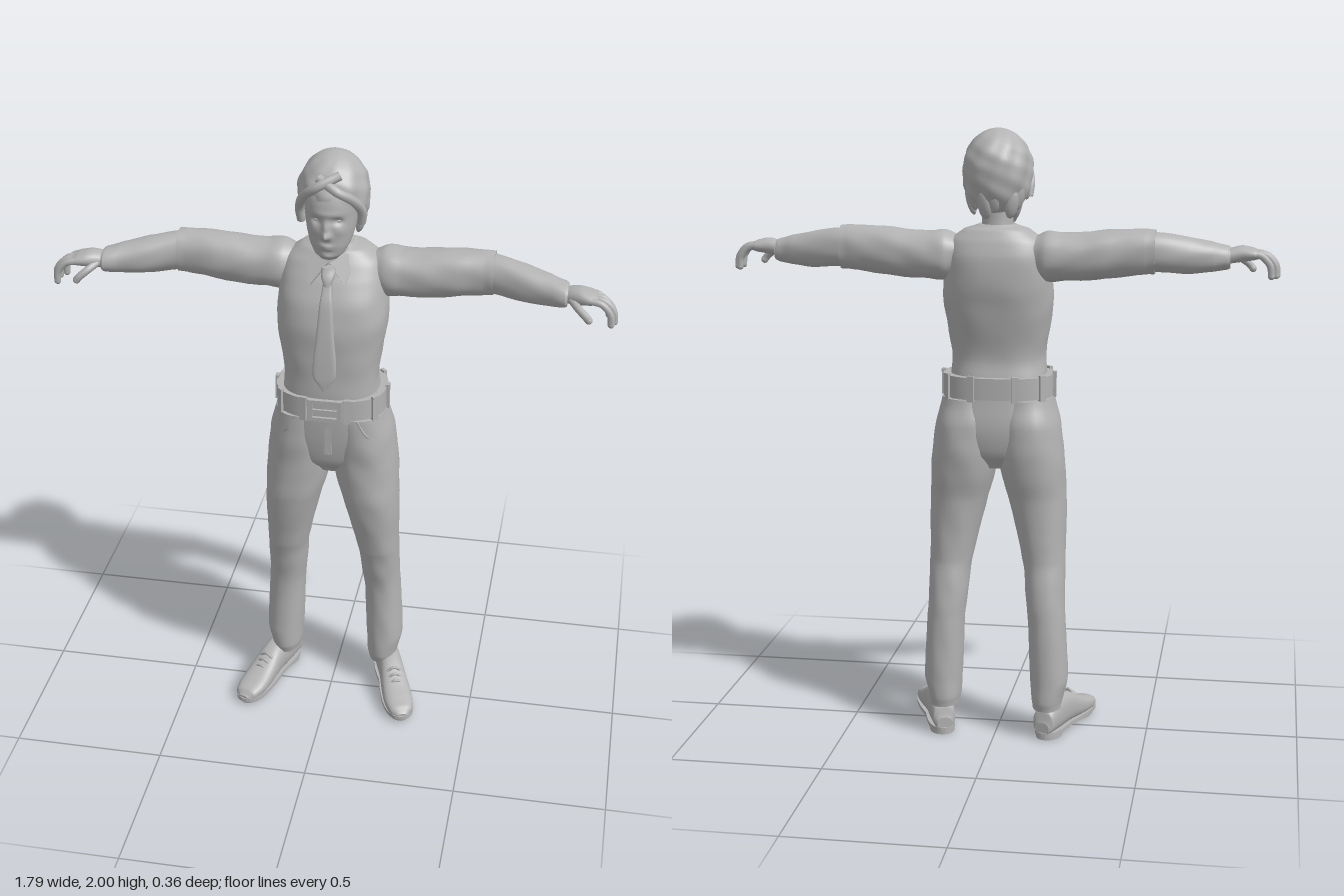
import * as THREE from 'three';

const clay = new THREE.MeshStandardMaterial({ color: 0xb3b3b3, side: THREE.DoubleSide });
clay.name = 'plain grey';
const V = (x, y, z) => new THREE.Vector3(x, y, z);
const AXES = { x: [0, 1, 2], y: [1, 0, 2], z: [2, 0, 1] };

// Smooth skin through rings [t, lo1, hi1, lo2, hi2] stacked along an axis;
// n squares the section, wob(t, angle) scales its radius.
function loft(axis, rings, { n = 2.2, seg = 32, steps = 5, wob = () => 1 } = {}) {
  const [T, A, B] = AXES[axis], rows = [], pos = [], idx = [];
  const at = i => rings[Math.max(0, Math.min(rings.length - 1, i))];
  for (let i = 0; i < rings.length - 1; i++)
    for (let s = 0; s < steps + (i === rings.length - 2 ? 1 : 0); s++) {
      const f = s / steps;
      rows.push(at(i).map((p, k) => {
        const m0 = (at(i + 1)[k] - at(i - 1)[k]) / 2, m1 = (at(i + 2)[k] - p) / 2;
        const q = at(i + 1)[k], f2 = f * f, f3 = f2 * f;
        return k === 0 ? p + (q - p) * f
          : p * (2 * f3 - 3 * f2 + 1) + m0 * (f3 - 2 * f2 + f) + q * (3 * f2 - 2 * f3) + m1 * (f3 - f2);
      }));
    }
  const put = (t, a, b) => { const p = []; p[T] = t; p[A] = a; p[B] = b; pos.push(...p); };
  const tri = (a, b, c) => axis === 'y' ? idx.push(a, c, b) : idx.push(a, b, c);
  const pow = c => Math.sign(c) * Math.abs(c) ** (2 / n);
  const ring = ([t, a0, a1, b0, b1]) => {
    for (let j = 0; j < seg; j++) {
      const g = j / seg * Math.PI * 2, w = wob(t, g);
      put(t, (a0 + a1) / 2 + (a1 - a0) / 2 * w * pow(Math.cos(g)), (b0 + b1) / 2 + (b1 - b0) / 2 * w * pow(Math.sin(g)));
    }
  };
  rows.forEach(ring);
  for (let i = 0; i < rows.length - 1; i++)
    for (let j = 0; j < seg; j++) {
      const a = i * seg + j, b = i * seg + (j + 1) % seg;
      tri(a, b, b + seg); tri(a, b + seg, a + seg);
    }
  // end caps
  for (const end of [0, 1]) {
    const r = rows[end * (rows.length - 1)], base = pos.length / 3;
    ring(r);
    put(r[0], (r[1] + r[2]) / 2, (r[3] + r[4]) / 2);
    for (let j = 0; j < seg; j++) {
      const a = base + j, b = base + (j + 1) % seg;
      end ? tri(a, b, base + seg) : tri(b, a, base + seg);
    }
  }
  const g = new THREE.BufferGeometry();
  g.setAttribute('position', new THREE.Float32BufferAttribute(pos, 3));
  g.setIndex(idx);
  g.computeVertexNormals();
  return g;
}

// Move every vertex by a rule
function shape(geo, rule) {
  const p = geo.attributes.position, v = V(0, 0, 0);
  for (let i = 0; i < p.count; i++) { rule(v.fromBufferAttribute(p, i), i); p.setXYZ(i, v.x, v.y, v.z); }
  geo.computeVertexNormals();
  return geo;
}

function mirror(geo) {
  const g = geo.index ? geo.toNonIndexed() : geo.clone();
  for (const [key, k] of [['position', 3], ['normal', 3]]) {
    const a = g.attributes[key].array;
    for (let i = 0; i < a.length; i += 9)
      for (let c = 0; c < k; c++) [a[i + 3 + c], a[i + 6 + c]] = [a[i + 6 + c], a[i + 3 + c]];
    for (let i = 0; i < a.length; i += 3) a[i] *= -1;
  }
  return g;
}

const tube = (pts, r, seg = 12) => new THREE.TubeGeometry(new THREE.CatmullRomCurve3(pts.map(p => V(...p))), seg, r, 8);
const ball = (r, x, y, z) => new THREE.SphereGeometry(r, 10, 8).translate(x, y, z);
const sym = rows => rows.map(([t, r, b0, b1]) => [t, -r, r, b0, b1]);

export function createModel() {
  const model = new THREE.Group();
  const add = (name, geo) => { const m = new THREE.Mesh(geo, clay); m.name = name; model.add(m); };
  const pair = (name, geo) => { add(name + 'Left', geo); add(name + 'Right', mirror(geo)); };
  const folds = k => (t, a) => 1 + k * Math.sin(t * 47 + 2 * Math.sin(a * 2)) * Math.sin(a * 3 + t * 13);

  // Waistcoat and trousers
  add('waistcoat', loft('y', sym([[1.2, .157, -.145, .105], [1.27, .152, -.132, .105], [1.35, .163, -.146, .106],
    [1.45, .177, -.166, .107], [1.53, .174, -.178, .092], [1.6, .166, -.175, .06], [1.65, .15, -.16, .028],
    [1.685, .105, -.14, .005], [1.7, .06, -.12, -.01]]), { n: 2.5, seg: 44, wob: folds(.008) }));
  add('trouserSeat', loft('y', sym([[.91, .06, -.11, .04], [.96, .15, -.15, .08], [1.05, .198, -.163, .098],
    [1.16, .178, -.15, .107]]), { n: 2.4 }));
  pair('trouserLeg', loft('y', [[.1, .125, .222, -.165, -.01], [.13, .12, .226, -.17, 0], [.2, .115, .24, -.17, 0],
    [.4, .107, .23, -.166, 0], [.5, .096, .226, -.158, .02], [.6, .083, .225, -.142, .045], [.8, .036, .225, -.147, .085],
    [.93, .003, .218, -.17, .09], [1.05, 0, .205, -.172, .1], [1.14, .005, .182, -.15, .1]], { wob: folds(.014) }));
  add('flyPlacket', new THREE.BoxGeometry(.022, .13, .008).translate(.008, 1.075, .1));
  pair('pocketSeam', tube([[.1, 1.14, .098], [.135, 1.08, .09], [.185, 1.05, .035]], .004));

  // Belt, loops and buckle
  const beltRow = y => [y, -.18, .18, -.163, .115];
  add('belt', loft('y', [beltRow(1.145), beltRow(1.152), beltRow(1.208), beltRow(1.215)], { n: 2.5, seg: 44 }));
  for (let i = 0; i < 10; i++) {
    const a = (i + .5) / 10 * Math.PI * 2 + Math.PI / 2, c = Math.cos(a), s = Math.sin(a);
    const p = t => Math.sign(t) * Math.abs(t) ** .8;
    add('beltLoop', new THREE.BoxGeometry(.022, .084, .012)
      .rotateY(Math.atan2(c * .139, s * .18)).translate(.182 * p(c), 1.18, -.024 + .141 * p(s)));
  }
  const frame = new THREE.Shape([[-.055, -.038], [.055, -.038], [.055, .038], [-.055, .038]].map(p => new THREE.Vector2(...p)));
  frame.holes.push(new THREE.Path([[-.04, -.024], [-.04, .024], [.04, .024], [.04, -.024]].map(p => new THREE.Vector2(...p))));
  add('buckle', new THREE.ExtrudeGeometry(frame, { depth: .014, bevelEnabled: false }).translate(0, 1.18, .11));
  add('bucklePin', new THREE.BoxGeometry(.085, .009, .008).translate(0, 1.18, .12));

  // Neck, shirt collar and tie
  add('neck', loft('y', sym([[1.62, .055, -.12, .005], [1.7, .05, -.11, .012], [1.76, .05, -.11, .02]])));
  add('collarBand', loft('y', sym([[1.64, .082, -.138, .034], [1.67, .07, -.132, .026], [1.695, .06, -.126, .018]])));
  const flap = new THREE.Shape([[.004, .03], [.06, .06], [.068, .005], [.05, -.045]].map(p => new THREE.Vector2(...p)));
  pair('collarPoint', new THREE.ExtrudeGeometry(flap, { depth: .009, bevelEnabled: false })
    .rotateX(-.55).rotateY(.15).translate(0, 1.635, .05));
  add('tie', loft('y', sym([[1.257, .003, .125, .135], [1.31, .037, .115, .135], [1.45, .028, .1, .122],
    [1.55, .02, .08, .104], [1.62, .013, .045, .074]]), { n: 4, seg: 20 }));
  add('tieKnot', loft('y', sym([[1.6, .012, .045, .084], [1.625, .021, .03, .077], [1.652, .024, .015, .058]]), { n: 3, seg: 16 }));

  // Sleeves
  pair('upperSleeve', loft('x', [[.125, 1.54, 1.665, -.14, -.01], [.165, 1.52, 1.68, -.157, .004], [.22, 1.524, 1.676, -.155, .004],
    [.35, 1.531, 1.686, -.145, 0], [.47, 1.548, 1.692, -.133, -.013], [.505, 1.55, 1.69, -.13, -.012]], { wob: folds(.025) }));
  pair('lowerSleeve', loft('x', [[.49, 1.557, 1.683, -.124, -.016], [.6, 1.549, 1.667, -.101, .012],
    [.68, 1.554, 1.65, -.076, .032], [.73, 1.56, 1.636, -.056, .047], [.738, 1.564, 1.632, -.052, .043]], { wob: folds(.02) }));

  // Hands
  pair('hand', loft('x', [[.715, 1.576, 1.622, -.03, .03], [.77, 1.582, 1.635, -.025, .056],
    [.81, 1.588, 1.628, -.025, .066], [.83, 1.593, 1.62, -.018, .06]], { seg: 20 }));
  [[-.012, -.012], [.012, .002], [.035, .006], [.058, -.003]].forEach(([z, d]) => {
    pair('finger', tube([[.81, 1.61, z], [.848 + d, 1.603, z + .004], [.875 + d, 1.572, z + .006], [.879 + d, 1.54, z + .006]], .011));
    pair('fingertip', ball(.011, .879 + d, 1.54, z + .006));
  });
  pair('thumb', tube([[.75, 1.6, .035], [.775, 1.585, .066], [.8, 1.565, .078], [.808, 1.555, .078]], .012));
  pair('thumbTip', ball(.012, .808, 1.555, .078));

  // Shoes, built along z and turned outwards
  const place = g => g.rotateY(.34).translate(.222, 0, .008);
  pair('shoe', place(loft('z', [[-.175, -.025, .025, .02, .06], [-.165, -.037, .037, .018, .1], [-.1, -.042, .042, .015, .132],
    [-.02, -.043, .043, .015, .125], [.06, -.049, .049, .012, .088], [.12, -.049, .049, .012, .066],
    [.162, -.038, .038, .012, .052], [.18, -.018, .018, .012, .034]], { n: 2.5 })));
  const sole = new THREE.Shape();
  sole.moveTo(0, -.18).bezierCurveTo(.06, -.18, .042, -.06, .042, -.03).bezierCurveTo(.06, .08, .06, .185, 0, .185)
    .bezierCurveTo(-.06, .185, -.06, .08, -.042, -.03).bezierCurveTo(-.042, -.06, -.06, -.18, 0, -.18);
  pair('sole', place(new THREE.ExtrudeGeometry(sole, { depth: .013, bevelEnabled: false }).rotateX(Math.PI / 2).translate(0, .026, 0)
    .scale(1, 1, 1)));
  pair('heel', place(new THREE.CylinderGeometry(.041, .041, .022, 20).scale(1, 1, 1.25).translate(0, .011, -.122)));
  pair('toeTread', place(new THREE.CylinderGeometry(.046, .044, .018, 20).scale(1, 1, 1.7).translate(0, .009, .1)));
  for (let i = 0; i < 3; i++)
    pair('lace', place(tube([[-.024, .1 - i * .013, .02 + i * .02], [0, .117 - i * .013, .022 + i * .02], [.024, .1 - i * .013, .02 + i * .02]], .005, 6)));

  // Head with nose, eye sockets, lips and chin pushed out of the front
  const bumps = [[0, 1.773, .011, .012, .027], [0, 1.797, .009, .02, .014], [.033, 1.818, .015, .011, -.013], [-.033, 1.818, .015, .011, -.013],
    [0, 1.737, .02, .006, .007], [0, 1.727, .016, .005, .006], [0, 1.7, .018, .01, .006], [0, 1.842, .05, .01, .004],
    [.045, 1.785, .018, .016, .004], [-.045, 1.785, .018, .016, .004]];
  add('head', shape(loft('y', sym([[1.685, .028, .01, .064], [1.7, .046, -.02, .074], [1.73, .063, -.06, .081], [1.77, .075, -.1, .085],
    [1.82, .083, -.13, .087], [1.87, .087, -.14, .086], [1.92, .082, -.13, .066], [1.96, .055, -.1, .02]])
    , { seg: 72, steps: 9 }), v => {
    if (v.z > .02) for (const [x, y, sx, sy, h] of bumps) v.z += h * Math.exp(-(((v.x - x) / sx) ** 2) - ((v.y - y) / sy) ** 2);
  }));
  pair('eye', new THREE.SphereGeometry(.012, 12, 8).scale(1.15, .6, .7).translate(.032, 1.817, .062));
  pair('ear', new THREE.SphereGeometry(.03, 12, 10).scale(.4, 1, .6).rotateY(.4).translate(.09, 1.805, -.035));

  // Hair cap, cut high over the face and low at the nape, with wavy tufts
  const cap = new THREE.SphereGeometry(1, 64, 32), uv = cap.attributes.uv;
  add('hair', shape(cap, (v, i) => {
    const phi = Math.round(uv.getX(i) * 64) / 64 * Math.PI * 2, f = Math.sin(phi);
    const th = (1 - uv.getY(i)) * Math.PI * (.66 - .19 * f + .03 * (1 - f * f));
    const low = th > Math.PI / 2, s = low ? Math.sin(th) ** .75 : Math.sin(th);
    const w = 1 + s * (.025 * Math.sin(phi * 9 + th * 5) + .02 * Math.sin(phi * 5 - th * 11) * Math.sin(th * 4));
    v.set(-Math.cos(phi) * s * .111 * w, 1.87 + Math.cos(th) * (low ? .15 : .13), -.045 + f * s * .128 * w);
  }));
  // Swept fringe, side locks and tufts at the back
  add('fringeLeft', tube([[-.03, 1.945, .052], [.03, 1.915, .078], [.075, 1.88, .052], [.097, 1.83, .012], [.094, 1.79, -.002]], .015, 20));
  add('fringeRight', tube([[.035, 1.955, .045], [-.03, 1.925, .076], [-.075, 1.885, .052], [-.097, 1.83, .012], [-.093, 1.785, -.002]], .015, 20));
  for (let i = 0; i < 9; i++) {
    const a = Math.PI * (i / 8 * .9 + .05), c = Math.cos(a), s = Math.sin(a), y = 1.755 + .02 * (i % 3) - .01 * s;
    add('hairTuft', new THREE.SphereGeometry(.03, 10, 10).scale(.8, 1.6, .5).rotateX(.25)
      .rotateY(Math.atan2(c, -s)).translate(c * .085, y + .02, -.055 - s * .085));
  }
  return model;
}
